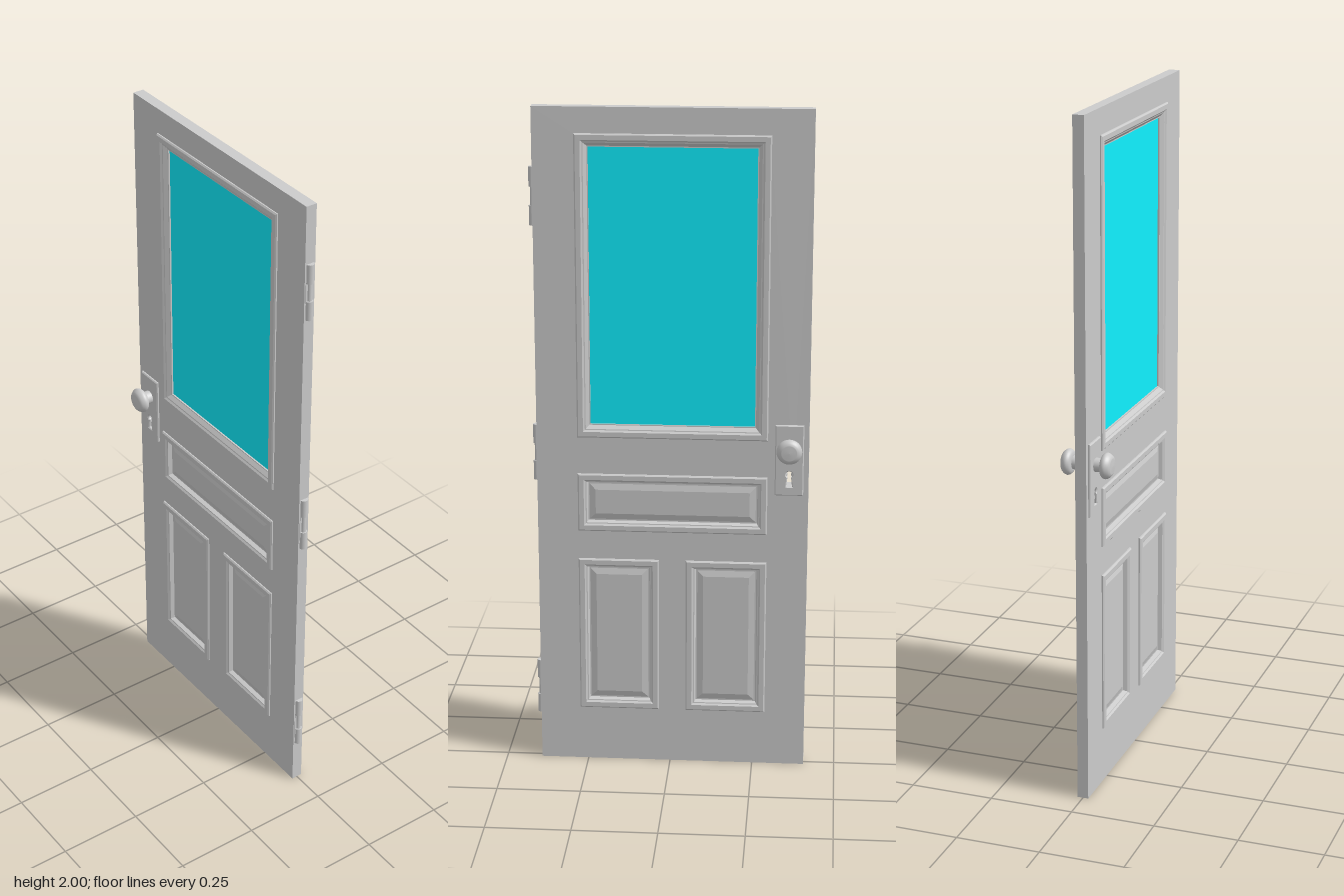
import * as THREE from 'three';

const CX = -0.007;          // middle of the slab
const HALF = 0.4;           // half of the slab width
const T = 0.0165;           // half of the slab thickness
const KNOB_X = -0.35;
const KEY_Y = 0.93;

const grey = new THREE.MeshStandardMaterial({ color: 0xcccccc });
const glassMaterial = new THREE.MeshStandardMaterial({ color: 0x10f0ff });

// Openings, relative to the slab middle: [name, x0, x1, y0, y1]
const openings = [
  ['window', -0.28, 0.28, 1.03, 1.925],
  ['middlePanel', -0.28, 0.28, 0.74, 0.918],
  ['lowerRightPanel', -0.28, -0.04, 0.17, 0.652],
  ['lowerLeftPanel', 0.04, 0.28, 0.17, 0.652],
];

// Profiles from the outside inwards: [inset, z]
const moulding = [[0, T - 0.004], [0, 0.02], [0.004, 0.0235], [0.018, 0.0235], [0.023, 0.019], [0.026, 0.0185]];
const windowProfile = [...moulding, [0.036, 0.009], [0.039, 0.009], [0.039, 0.002]];
const panelProfile = [...moulding, [0.03, 0.006], [0.034, 0.006], [0.052, 0.011]];

function mesh(name, geometry, material = grey) {
  const m = new THREE.Mesh(geometry, material);
  m.name = name;
  return m;
}

function rectPath(x0, x1, y0, y1, inset = 0) {
  return new THREE.Path([
    new THREE.Vector2(x0 + inset, y0 + inset), new THREE.Vector2(x1 - inset, y0 + inset),
    new THREE.Vector2(x1 - inset, y1 - inset), new THREE.Vector2(x0 + inset, y1 - inset),
  ]);
}

// Round eye with a flaring slot below
function keyholePath(x, y) {
  const p = new THREE.Path();
  p.moveTo(x - 0.012, y - 0.04);
  p.lineTo(x + 0.012, y - 0.04);
  p.lineTo(x + 0.007, y - 0.009);
  p.absarc(x, y, 0.0125, -0.9, Math.PI + 0.9, false);
  p.closePath();
  return p;
}

// Mitred rectangular frame following a profile, optionally filled in the middle
function frameGeometry(x0, x1, y0, y1, profile, filled) {
  const positions = [];
  const rings = profile.map(([d, z]) => [
    [x0 + d, y0 + d, z], [x1 - d, y0 + d, z], [x1 - d, y1 - d, z], [x0 + d, y1 - d, z],
  ]);
  const quad = (a, b, c, d) => positions.push(...a, ...b, ...c, ...a, ...c, ...d);
  for (let k = 0; k < rings.length - 1; k++) {
    for (let i = 0; i < 4; i++) {
      const j = (i + 1) % 4;
      quad(rings[k][i], rings[k][j], rings[k + 1][j], rings[k + 1][i]);
    }
  }
  if (filled) quad(...rings[rings.length - 1]);
  const g = new THREE.BufferGeometry();
  g.setAttribute('position', new THREE.Float32BufferAttribute(positions, 3));
  g.computeVertexNormals();
  return g;
}

// Slab with openings and keyhole
function createSlab() {
  const shape = new THREE.Shape(rectPath(-HALF, HALF, 0, 2).getPoints());
  for (const [, ...r] of openings) shape.holes.push(rectPath(...r, 0.003));
  shape.holes.push(keyholePath(KNOB_X - CX, KEY_Y));
  const g = new THREE.ExtrudeGeometry(shape, { depth: 2 * T, bevelEnabled: false, curveSegments: 8 });
  g.translate(0, 0, -T);
  return mesh('slab', g);
}

// Mouldings and panel fields of one face
function createFace(name) {
  const face = new THREE.Group();
  face.name = name;
  for (const [part, ...r] of openings) {
    const isWindow = part === 'window';
    face.add(mesh(part + (isWindow ? 'Moulding' : ''),
      frameGeometry(...r, isWindow ? windowProfile : panelProfile, !isWindow)));
  }
  return face;
}

// Lock plate and knob, facing +z around x = 0
function createHandle(name) {
  const handle = new THREE.Group();
  handle.name = name;
  const bevel = 0.003;
  const plate = new THREE.Shape(rectPath(-0.042, 0.042, 0.865, 1.08, bevel).getPoints());
  plate.holes.push(keyholePath(0, KEY_Y));
  const plateGeometry = new THREE.ExtrudeGeometry(plate, {
    depth: 0.005, bevelThickness: bevel, bevelSize: bevel, bevelSegments: 1, curveSegments: 8,
  });
  plateGeometry.translate(0, 0, T - 0.001);
  handle.add(mesh('lockPlate', plateGeometry));

  const neck = new THREE.CylinderGeometry(0.02, 0.02, 0.034, 24);
  neck.rotateX(Math.PI / 2).translate(0, 1.01, 0.031);
  handle.add(mesh('knobNeck', neck));

  const curve = new THREE.SplineCurve([
    [0.02, 0.042], [0.031, 0.045], [0.037, 0.053], [0.0365, 0.061], [0.03, 0.07], [0.022, 0.074],
  ].map(([r, z]) => new THREE.Vector2(r, z)));
  const points = [new THREE.Vector2(0, 0.042), ...curve.getPoints(14), new THREE.Vector2(0, 0.075)];
  const knob = new THREE.LatheGeometry(points, 32);
  knob.rotateX(Math.PI / 2).translate(0, 1.01, 0);
  handle.add(mesh('knob', knob));
  return handle;
}

// Hinge with a leaf on the door edge and three knuckles, the middle one slimmer
function createHinge(name, y) {
  const hinge = new THREE.Group();
  hinge.name = name;
  const leaf = mesh('hingeLeaf', new THREE.BoxGeometry(0.004, 0.17, 0.026));
  leaf.position.x = 0.393;
  hinge.add(leaf);
  for (const i of [-1, 0, 1]) {
    const r = i ? 0.012 : 0.008;
    const knuckle = mesh('hingeKnuckle', new THREE.CylinderGeometry(r, r, i ? 0.058 : 0.054, 12));
    knuckle.position.set(0.393, i * 0.056, 0);
    hinge.add(knuckle);
  }
  hinge.position.y = y;
  return hinge;
}

export function createModel() {
  const door = new THREE.Group();
  door.name = 'door';

  const leaf = new THREE.Group();
  leaf.name = 'doorLeaf';
  leaf.position.x = CX;
  const back = createFace('backFace');
  back.rotation.y = Math.PI;
  leaf.add(createSlab(), createFace('frontFace'), back);

  const [, x0, x1, y0, y1] = openings[0];
  const glass = mesh('glass', new THREE.BoxGeometry(x1 - x0 - 0.07, y1 - y0 - 0.07, 0.008), glassMaterial);
  glass.position.set((x0 + x1) / 2, (y0 + y1) / 2, 0);
  leaf.add(glass);
  door.add(leaf);

  for (const side of ['front', 'back']) {
    const handle = createHandle(side + 'Handle');
    handle.position.x = KNOB_X;
    if (side === 'back') handle.rotation.y = Math.PI;
    door.add(handle);
  }

  [['topHinge', 1.742], ['middleHinge', 0.978], ['bottomHinge', 0.231]]
    .forEach(([name, y]) => door.add(createHinge(name, y)));
  return door;
}
